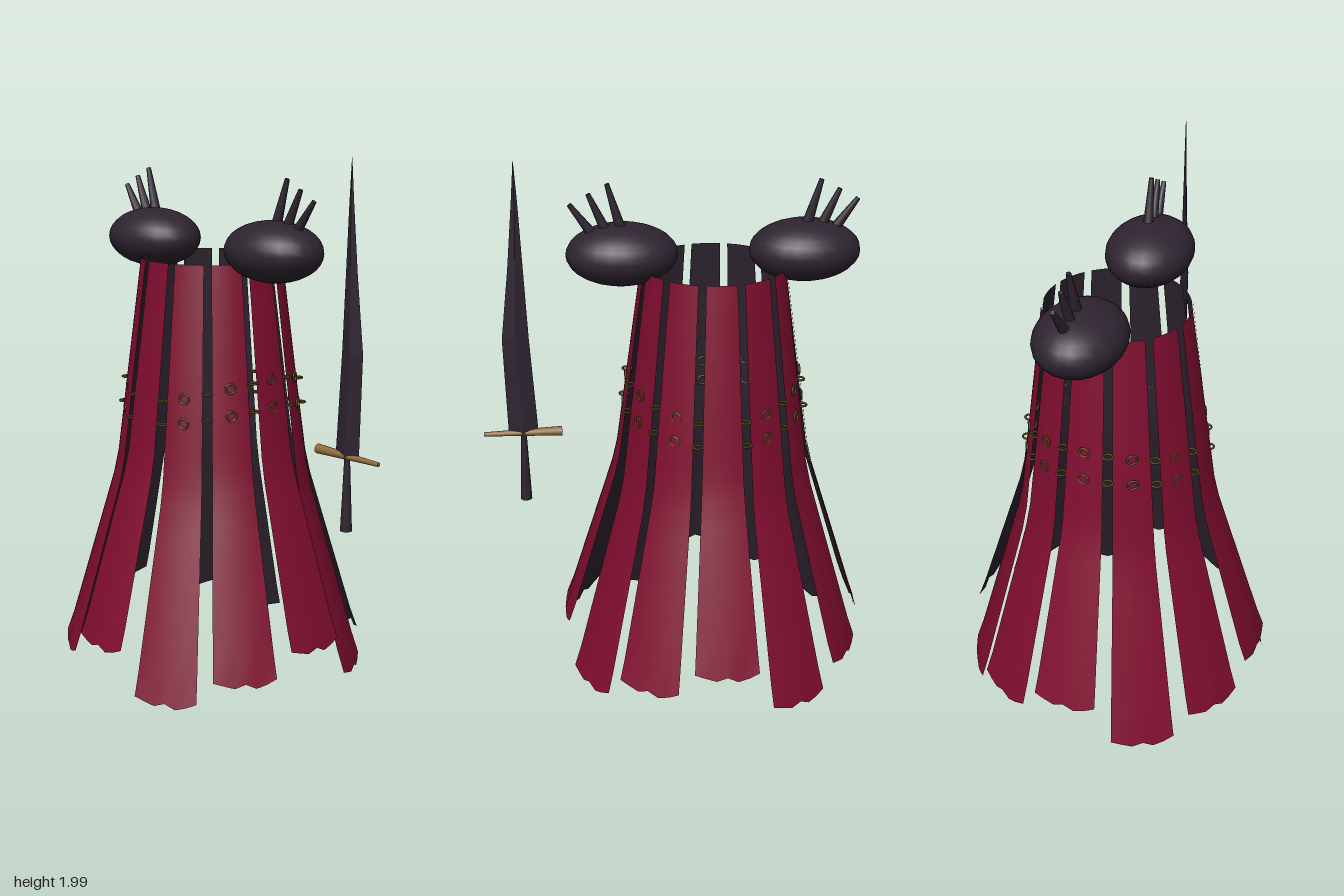
import * as THREE from 'three';

const mat = (name, color) => {
  const m = new THREE.MeshStandardMaterial({ color });
  m.name = name;
  return m;
};

export function createModel() {
  const red = mat('crimson cloth', 0x7f0d2f);
  const dark = mat('dark plum', 0x2e2430);
  const gold = mat('dull gold', 0x5c4a1c);
  const brass = mat('tan brass', 0x8f6c3c);

  const model = new THREE.Group();
  model.name = 'cloakAndSword';
  const add = (parent, name, geometry, material) => {
    const mesh = new THREE.Mesh(geometry, material);
    mesh.name = name;
    parent.add(mesh);
    return mesh;
  };

  // Tapered rod between two points
  const UP = new THREE.Vector3(0, 1, 0);
  const rod = (parent, name, a, b, ra, rb, material, sides = 10) => {
    const from = new THREE.Vector3(...a), to = new THREE.Vector3(...b);
    const dir = to.clone().sub(from);
    const mesh = add(parent, name, new THREE.CylinderGeometry(rb, ra, dir.length(), sides), material);
    mesh.position.copy(from).add(to).multiplyScalar(0.5);
    mesh.quaternion.setFromUnitVectors(UP, dir.normalize());
    return mesh;
  };

  // Everything worn sits around its own axis, beside the sword
  const outfit = new THREE.Group();
  outfit.name = 'outfit';
  outfit.position.x = -0.145;
  model.add(outfit);

  // Cloak strips: a flared profile, wrapped around the axis, with a ragged hem
  const TOP = 1.6, KINK = 0.53;
  const hems = [0.188, 0.02, 0.1];
  const jag = [0.016, 0.004, -0.008, 0.006, -0.014, -0.004, 0.012];
  const stripGeometry = (angle, hem, inner) => {
    const cols = 6, rows = 16;
    const g = new THREE.PlaneGeometry(1, 1, cols, rows);
    const p = g.attributes.position;
    for (let i = 0; i < p.count; i++) {
      const u = p.getX(i), t = 0.5 - p.getY(i);
      const r = t < KINK
        ? THREE.MathUtils.lerp(0.267, 0.37, t / KINK)
        : THREE.MathUtils.lerp(0.37, 0.578, (t - KINK) / (1 - KINK));
      const a = angle + u * THREE.MathUtils.degToRad(24);
      const rag = t > 0.99 ? jag[Math.round((u + 0.5) * cols)] : 0;
      const rr = r - (inner ? 0.004 : 0);
      p.setXYZ(i, rr * Math.sin(a), TOP + (hem - TOP) * t + rag, rr * Math.cos(a));
    }
    if (inner) {
      const idx = g.index;
      for (let i = 0; i < idx.count; i += 3) {
        const b = idx.getX(i + 1);
        idx.setX(i + 1, idx.getX(i + 2));
        idx.setX(i + 2, b);
      }
    }
    g.computeVertexNormals();
    return g;
  };
  for (let i = 0; i < 12; i++) {
    const strip = new THREE.Group();
    strip.name = 'cloakStrip';
    outfit.add(strip);
    const angle = i * Math.PI / 6;
    add(strip, 'cloth', stripGeometry(angle, hems[i % 3], false), red);
    add(strip, 'lining', stripGeometry(angle, hems[i % 3], true), dark);
  }

  // Two sagging chains of small links
  const link = new THREE.TorusGeometry(0.018, 0.004, 6, 12);
  [[1.135, 0.04, 0.328], [1.04, 0.03, 0.34]].forEach(([y, sag, r]) => {
    const chain = new THREE.Group();
    chain.name = 'chain';
    outfit.add(chain);
    const count = 24;
    for (let i = 0; i < count; i++) {
      const a = i / count * Math.PI * 2;
      const ring = add(chain, 'chainLink', link, gold);
      ring.position.set(r * Math.sin(a), y - sag * Math.cos(2 * a), r * Math.cos(a));
      ring.rotation.order = 'YXZ';
      ring.rotation.set(i % 2 ? Math.PI / 2 : 0, a, 0);
    }
  });

  // Shoulder guards with three spikes each
  for (const s of [-1, 1]) {
    const shoulder = new THREE.Group();
    shoulder.name = s > 0 ? 'leftShoulder' : 'rightShoulder';
    outfit.add(shoulder);
    const pad = add(shoulder, 'shoulderPad', new THREE.SphereGeometry(1, 24, 16), dark);
    pad.scale.set(0.205, 0.113, 0.16);
    pad.position.set(s * 0.335, 1.647, 0);
    [[0.335, 1.73, 0.387, 1.91], [0.385, 1.72, 0.455, 1.875], [0.43, 1.71, 0.522, 1.838]]
      .forEach(([x0, y0, x1, y1]) =>
        rod(shoulder, 'spike', [s * x0, y0, -0.01], [s * x1, y1, -0.016], 0.021, 0.009, dark));
  }

  // Sword blade: diamond cross-sections [y, left x, right x, half thickness]
  const sword = new THREE.Group();
  sword.name = 'sword';
  model.add(sword);
  const sections = [
    [0.95, 0.514, 0.626, 0.014], [1.33, 0.538, 0.637, 0.015],
    [1.6, 0.55, 0.606, 0.008], [1.85, 0.561, 0.583, 0.004], [2.0, 0.57, 0.571, 0.001],
  ];
  const verts = [], faces = [];
  sections.forEach(([y, l, r, h], k) => {
    const m = (l + r) / 2;
    verts.push(r, y, 0, m, y, -h, l, y, 0, m, y, h);
    if (k === 0) return;
    for (let j = 0; j < 4; j++) {
      const a = (k - 1) * 4 + j, b = (k - 1) * 4 + (j + 1) % 4;
      faces.push(a, b, b + 4, a, b + 4, a + 4);
    }
  });
  faces.push(0, 2, 1, 0, 3, 2);
  const indexed = new THREE.BufferGeometry();
  indexed.setAttribute('position', new THREE.Float32BufferAttribute(verts, 3));
  indexed.setIndex(faces);
  const blade = indexed.toNonIndexed();
  blade.computeVertexNormals();
  add(sword, 'blade', blade, dark);

  // Guard and grip
  rod(sword, 'crossguard', [0.425, 0.957, 0], [0.72, 0.953, 0], 0.018, 0.008, brass, 12);
  rod(sword, 'grip', [0.57, 0.68, 0], [0.57, 0.96, 0], 0.022, 0.01, dark, 12);

  return model;
}
